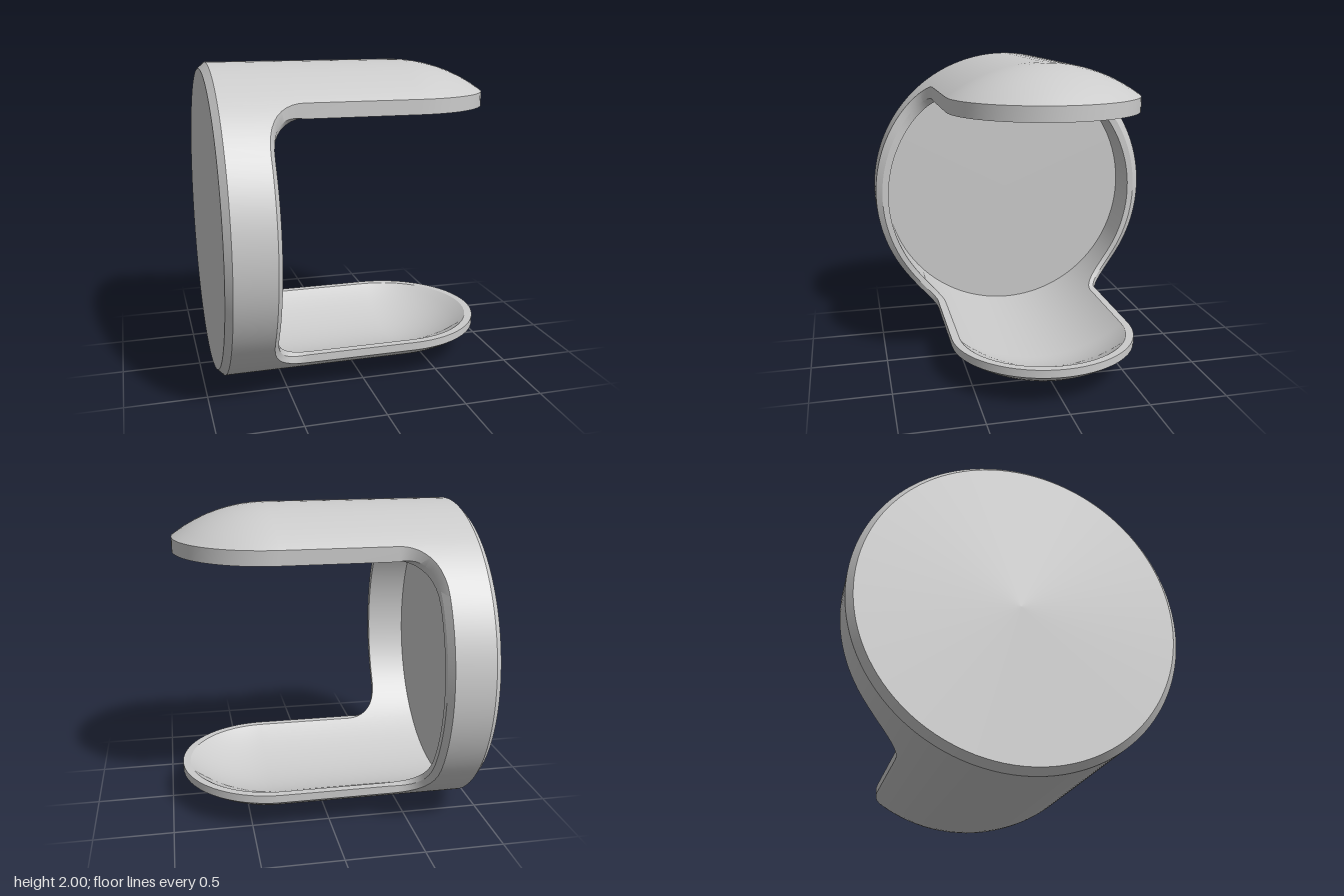
import * as THREE from 'three';
import { toCreasedNormals } from 'three/addons/utils/BufferGeometryUtils.js';

const BACK = -0.92, FLOOR = -0.87, DOME_X = 0.32; // base, cavity floor, start of the rounded tips
const OUTER = { r: 1, y: 1 };
const INNER = { r: 0.913, y: 0.98 };

const lerp = THREE.MathUtils.lerp;

// Point on a horizontal capsule surface (cylinder that ends in a sphere at DOME_X)
function onCapsule(c, x, z, s) {
  const d = Math.max(0, x - DOME_X);
  return new THREE.Vector3(x, c.y + s * Math.sqrt(Math.max(0, c.r * c.r - z * z - d * d)), z);
}

// Plan of the opening's edge, from the side of the collar to the tongue tip.
// Each entry: outer edge [x, z], inner edge [x, z], and t = 1 on the collar, 0 on the tongue.
function edgePlan() {
  const plan = [];
  const start = Math.asin(0.84);
  for (let i = 0; i <= 12; i++) { // collar side
    const z = Math.sin(lerp(Math.PI / 2, start, i / 12));
    plan.push({ a: [-0.63, z], c: [-0.6, z * INNER.r], t: 1 });
  }
  const cz = 0.84 * INNER.r;
  for (let i = 1; i <= 10; i++) { // fillet between collar and tongue
    const p = (i / 10) * Math.PI / 2, co = 1 - Math.cos(p), si = Math.sin(p);
    plan.push({
      a: [-0.63 + 0.24 * co, 0.84 - 0.24 * si],
      c: [-0.6 + 0.24 * co, cz - (cz - 0.55) * si],
      t: Math.cos(p),
    });
  }
  for (let i = 0; i <= 16; i++) { // rounded tongue end
    const p = (i / 16) * Math.PI / 2, co = Math.cos(p), si = Math.sin(p);
    plan.push({ a: [DOME_X + 0.6 * si, 0.6 * co], c: [DOME_X + 0.55 * si, 0.55 * co], t: 0 });
  }
  return plan;
}

// Points along x on a capsule from x0 to the edge
function run(c, x0, [x, z], s) {
  const mid = Math.min(x, DOME_X), pts = [onCapsule(c, x0, z, s)];
  for (let j = 0; j <= 8; j++) pts.push(onCapsule(c, lerp(mid, x, j / 8), z, s));
  return pts;
}

// Cross-sections of every part at one place on the edge; s = up or down, m = +z or -z
function section({ a, c, t }, s, m) {
  const ea = [a[0], a[1] * m], ec = [c[0], c[1] * m];
  const outer = run(OUTER, BACK + 0.04, ea, s);
  const inner = run(INNER, FLOOR, ec, s).reverse();
  const A = outer[outer.length - 1], C = inner[0];
  const B = new THREE.Vector3(
    A.x + 0.03 * t,
    lerp(C.y, (A.y + C.y) / 2, t),
    lerp(A.z, (A.z + C.z) / 2, t)
  );
  const first = outer[0];
  const bevel = new THREE.Vector3(BACK, 1 + (first.y - 1) * 0.96, first.z * 0.96);
  return {
    base: [new THREE.Vector3(BACK, 1, 0), bevel, first],
    outerShell: outer,
    rim: [A, B, C],
    innerShell: inner,
    cavityFloor: [inner[inner.length - 1], new THREE.Vector3(FLOOR, INNER.y, 0)],
  };
}

// Skin a closed ring of cross-sections
function loft(columns) {
  const pos = [], n = new THREE.Vector3(), e = new THREE.Vector3();
  const tri = (p, q, r) => {
    n.subVectors(q, p).cross(e.subVectors(r, p));
    if (n.length() < 1e-8) return;
    for (const v of [p, q, r]) pos.push(v.x, v.y, v.z);
  };
  columns.forEach((col, i) => {
    const next = columns[(i + 1) % columns.length];
    for (let j = 0; j < col.length - 1; j++) {
      tri(col[j], col[j + 1], next[j]);
      tri(next[j], col[j + 1], next[j + 1]);
    }
  });
  const geo = new THREE.BufferGeometry();
  geo.setAttribute('position', new THREE.Float32BufferAttribute(pos, 3));
  return toCreasedNormals(geo, 0.5);
}

export function createModel() {
  const group = new THREE.Group();
  group.name = 'cupHolder';
  const material = new THREE.MeshStandardMaterial({ color: 0xcccccc });

  // Ring of sections: up one side, over the top tongue, down, and back under the lower tongue
  const plan = edgePlan(), back = [...plan].reverse();
  const sections = [
    ...plan.map((p) => section(p, 1, 1)),
    ...back.map((p) => section(p, 1, -1)),
    ...plan.map((p) => section(p, -1, -1)),
    ...back.map((p) => section(p, -1, 1)),
  ];

  for (const name of ['base', 'outerShell', 'rim', 'innerShell', 'cavityFloor']) {
    const mesh = new THREE.Mesh(loft(sections.map((q) => q[name])), material);
    mesh.name = name;
    group.add(mesh);
  }
  return group;
}
